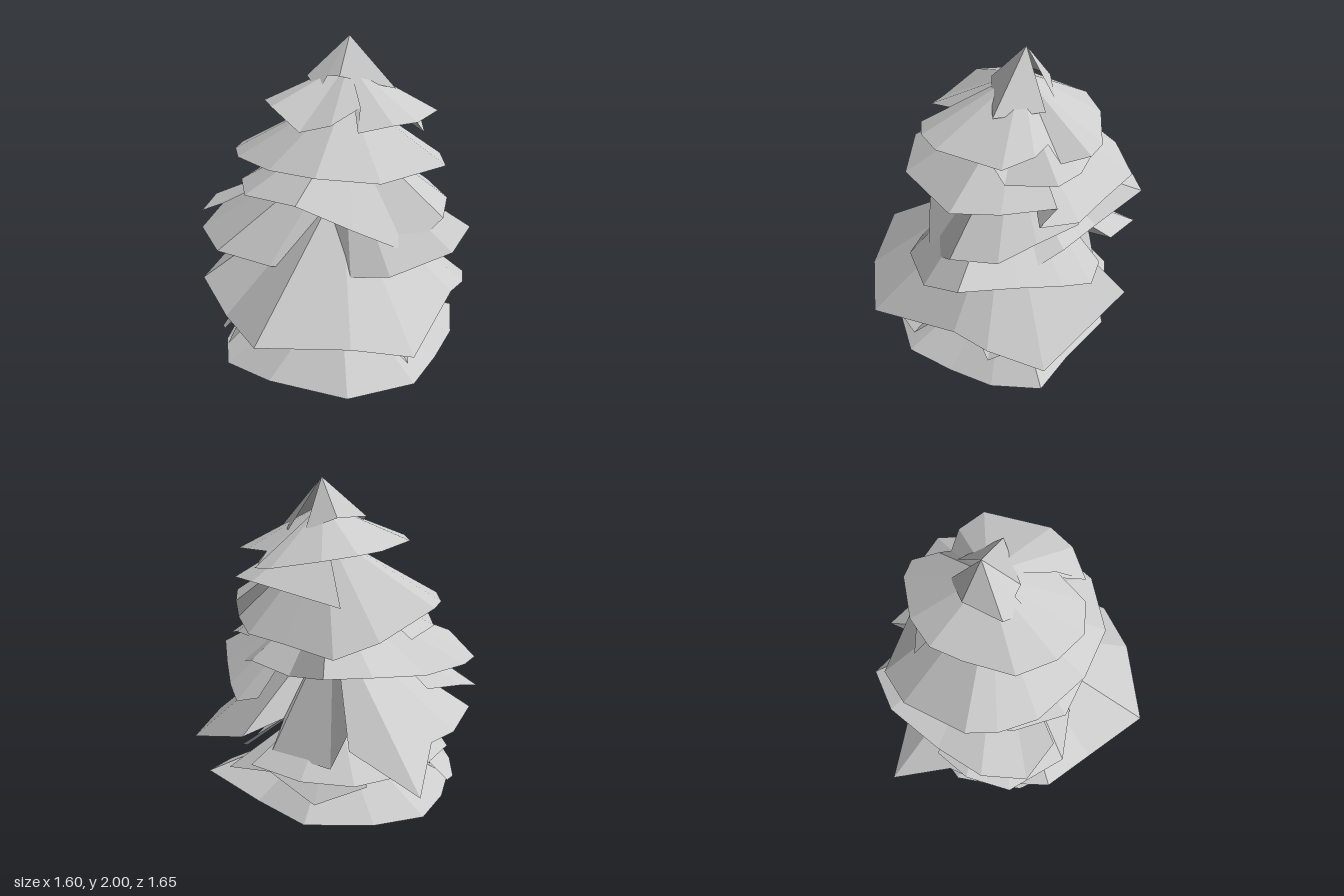
import * as THREE from 'three';

export function createModel() {
  const tree = new THREE.Group();
  tree.name = 'pineTree';
  const grey = new THREE.MeshStandardMaterial({ color: 0xcccccc, side: THREE.DoubleSide });
  grey.name = 'paleGrey';

  // Folded paper-like tier: flat facets from a point on the trunk to a ragged rim
  function tier(name, apex, rim, closed = false) {
    const pos = [];
    const n = rim.length;
    for (let i = 0; i < (closed ? n : n - 1); i++) {
      pos.push(...apex, ...rim[i], ...rim[(i + 1) % n]);
    }
    const geo = new THREE.BufferGeometry();
    geo.setAttribute('position', new THREE.Float32BufferAttribute(pos, 3));
    geo.computeVertexNormals();
    const mesh = new THREE.Mesh(geo, grey);
    mesh.name = name;
    tree.add(mesh);
  }

  // Trunk, smooth, tapering and bending slightly to the back near the top
  const path = new THREE.QuadraticBezierCurve3(
    new THREE.Vector3(0.105, 0, -0.066), new THREE.Vector3(0.108, 0.95, -0.066), new THREE.Vector3(0.08, 1.9, -0.17));
  const trunkGeo = new THREE.CylinderGeometry(0.012, 0.058, 1.9, 12, 8);
  trunkGeo.translate(0, 0.95, 0);
  const p = trunkGeo.attributes.position;
  for (let i = 0; i < p.count; i++) {
    const c = path.getPoint(p.getY(i) / 1.9);
    p.setX(i, p.getX(i) + c.x);
    p.setZ(i, p.getZ(i) + c.z);
  }
  const trunk = new THREE.Mesh(trunkGeo, grey);
  trunk.name = 'trunk';
  tree.add(trunk);

  // Crown
  tier('crownTip', [0.08, 2, -0.18], [
    [0.045, 1.74, -0.34], [-0.07, 1.8, -0.22], [-0.08, 1.79, 0.0], [0.05, 1.72, 0.08], [0.05, 1.8, 0.0],
    [0.13, 1.8, 0.0], [0.365, 1.73, -0.2], [0.155, 1.73, -0.36]]);
  tier('crownTier', [0.09, 1.86, -0.16], [
    [-0.29, 1.64, -0.3], [-0.29, 1.64, -0.12], [-0.26, 1.66, 0.15], [-0.1, 1.66, 0.3],
    [0.12, 1.56, 0.36], [0.27, 1.6, 0.3], [0.33, 1.67, 0.11], [0.4, 1.57, 0.25],
    [0.53, 1.6, 0.12], [0.59, 1.6, -0.03], [0.55, 1.6, -0.27], [0.53, 1.6, -0.39],
    [0.37, 1.62, -0.46], [0.24, 1.62, -0.44], [0.24, 1.54, -0.52], [0.13, 1.57, -0.62],
    [0.02, 1.58, -0.61], [-0.19, 1.62, -0.46]], true);
  tier('crownBackTier', [0.09, 1.76, -0.16], [
    [0.46, 1.57, -0.25], [0.47, 1.47, -0.36], [0.34, 1.49, -0.58], [0.18, 1.49, -0.6], [-0.28, 1.39, -0.42]]);

  // Upper tier, drooping at the back
  tier('upperTier', [0.09, 1.71, -0.14], [
    [0.2, 1.21, -0.62], [-0.06, 1.2, -0.6], [-0.38, 1.18, -0.58], [-0.51, 1.25, -0.385], [-0.55, 1.36, 0],
    [-0.48, 1.36, 0.15], [-0.33, 1.36, 0.31], [-0.02, 1.36, 0.44], [0.27, 1.36, 0.44],
    [0.54, 1.33, 0.25], [0.685, 1.35, -0.19], [0.55, 1.36, -0.4], [0.34, 1.36, -0.58], [0.4, 1.25, -0.52]], true);

  // Middle tiers
  tier('middleTier', [0.1, 1.53, -0.12], [
    [-0.48, 1.2, -0.1], [-0.4, 1.2, 0.2], [-0.2, 1.19, 0.42], [0.14, 1.19, 0.43],
    [0.38, 1.05, 0.25], [0.6, 0.92, 0.06], [0.69, 1.06, -0.18], [0.6, 1.1, -0.42],
    [0.42, 1.16, -0.52], [0.2, 1.2, -0.62]]);
  tier('middleBackTier', [0.1, 1.4, -0.11], [
    [0.5, 0.95, -0.46], [0.25, 1.04, -0.57], [-0.05, 1.02, -0.57], [-0.38, 1.1, -0.65],
    [-0.54, 1.1, -0.47], [-0.62, 1.05, -0.15], [-0.66, 1.05, 0.13], [-0.57, 1.02, 0.36], [-0.35, 1.12, 0.42]]);
  tier('middleSkirt', [0.1, 1.4, -0.1], [
    [-0.63, 0.98, -0.15], [-0.685, 0.96, 0.05], [-0.64, 0.885, 0.29], [-0.35, 0.86, 0.49],
    [-0.05, 0.81, 0.41], [0.12, 0.79, 0.25], [0.4, 0.81, 0.3], [0.59, 0.83, 0.22],
    [0.795, 0.91, -0.09], [0.79, 0.99, -0.32], [0.55, 0.95, -0.5], [0.35, 0.9, -0.64],
    [0.2, 0.86, -0.72], [0.07, 0.9, -0.68]]);

  // Broad lower skirt, tucked in at the back
  tier('broadSkirt', [0.1, 1.21, -0.08], [
    [0.03, 0.74, -0.83], [0.02, 0.76, -0.55], [0.15, 0.52, -0.53], [-0.25, 0.52, -0.475], [-0.3, 0.72, -0.38],
    [-0.39, 0.67, -0.48], [-0.8, 0.525, -0.41],
    [-0.63, 0.665, -0.1], [-0.63, 0.665, 0.1], [-0.48, 0.665, 0.47], [-0.19, 0.56, 0.62],
    [0.16, 0.56, 0.82], [0.57, 0.56, 0.57], [0.8, 0.48, 0.33], [0.74, 0.62, -0.23],
    [0.72, 0.6, -0.44], [0.6, 0.54, -0.72]], true);

  // Lower tiers beneath the skirt
  tier('lowerTier', [0.1, 0.8, -0.07], [
    [0.2, 0.46, -0.64], [-0.15, 0.46, -0.6], [-0.4, 0.46, -0.45], [-0.54, 0.46, -0.1],
    [-0.45, 0.46, 0.3], [-0.2, 0.46, 0.5], [0.05, 0.49, 0.55], [0.4, 0.46, 0.45],
    [0.68, 0.46, 0.3], [0.68, 0.32, 0.15], [0.52, 0.57, -0.1], [0.6, 0.355, -0.34], [0.45, 0.46, -0.5]]);
  tier('lowerFrontBranch', [0.05, 0.85, -0.03], [
    [-0.53, 0.3, 0.2], [-0.5, 0.28, 0.3], [-0.4, 0.33, 0.4], [-0.24, 0.54, 0.36],
    [-0.31, 0.29, 0.48], [-0.2, 0.56, 0.42]]);
  tier('lowerBackBranch', [0.1, 0.78, -0.08], [
    [0.45, 0.35, -0.6], [0.15, 0.4, -0.55], [-0.2, 0.32, -0.55], [-0.4, 0.42, -0.35]]);
  tier('bottomTier', [0.1, 0.59, -0.07], [
    [0.2, 0.22, -0.6], [-0.17, 0.21, -0.6], [-0.45, 0.21, -0.35], [-0.59, 0.21, -0.1], [-0.53, 0.22, 0.15],
    [-0.42, 0.24, 0.36], [-0.31, 0.17, 0.485], [0.04, 0.2, 0.55], [0.5, 0.21, 0.48],
    [0.72, 0.21, 0.15], [0.7, 0.23, -0.15], [0.67, 0.27, -0.42], [0.55, 0.32, -0.67]], true);

  return tree;
}
